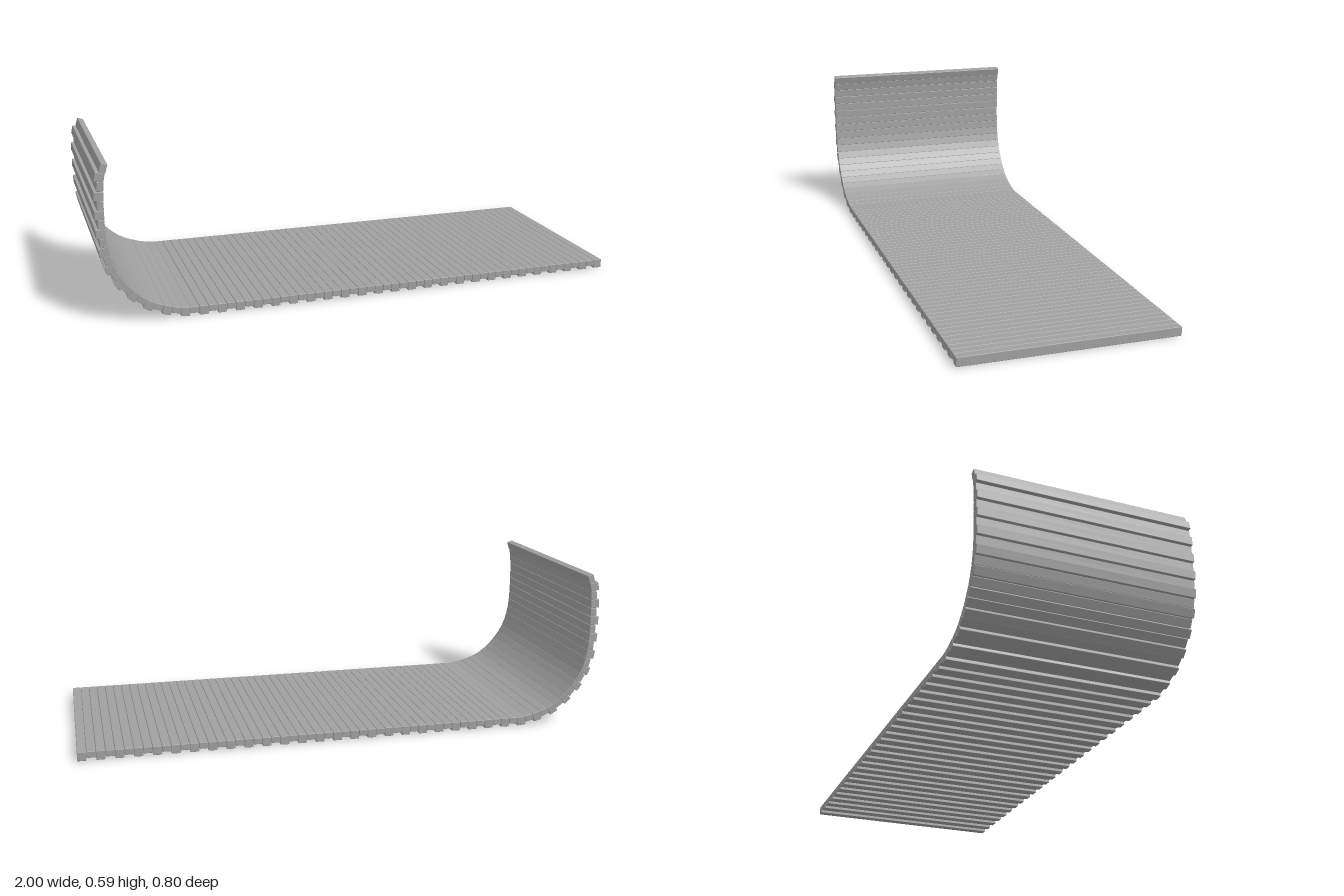
import * as THREE from 'three';
import { RoundedBoxGeometry } from 'three/addons/geometries/RoundedBoxGeometry.js';

const WIDTH = 0.8, LENGTH = 0.0328, THICK = 0.034, THIN = 0.024, COUNT = 72;

export function createModel() {
  const group = new THREE.Group();
  group.name = 'slattedBelt';
  const grey = new THREE.MeshStandardMaterial({ color: 0xa0a0a0 });
  grey.name = 'grey';

  // Path through the slat centres: flat run, upward bend, slight inward curl
  const path = new THREE.CatmullRomCurve3([
    [0.983, 0.02], [0.3, 0.02], [-0.4, 0.02], [-0.62, 0.02],
    [-0.703, 0.0215], [-0.767, 0.036], [-0.83, 0.062], [-0.884, 0.104],
    [-0.927, 0.155], [-0.959, 0.214], [-0.976, 0.278], [-0.982, 0.342],
    [-0.983, 0.41], [-0.982, 0.478], [-0.976, 0.541], [-0.966, 0.574],
  ].map(([x, y]) => new THREE.Vector3(x, y, 0)));
  path.arcLengthDivisions = 2000;

  const thickGeometry = new RoundedBoxGeometry(LENGTH, THICK, WIDTH, 1, 0.002);
  // Thin slats sit flush with the thick ones on the inner side
  const thinGeometry = new RoundedBoxGeometry(LENGTH, THIN, WIDTH, 1, 0.002);
  thinGeometry.translate(0, (THICK - THIN) / 2, 0);

  // Alternating thick and thin slats, turned to follow the path
  for (let i = 0; i < COUNT; i++) {
    const t = i / (COUNT - 1);
    const thick = i % 2 === 0;
    const slat = new THREE.Mesh(thick ? thickGeometry : thinGeometry, grey);
    slat.name = thick ? 'thickSlat' : 'thinSlat';
    slat.position.copy(path.getPointAt(t));
    const tangent = path.getTangentAt(t);
    slat.rotation.z = Math.atan2(-tangent.y, -tangent.x);
    group.add(slat);
  }

  // Rest the lowest slat on the ground and centre the length
  const box = new THREE.Box3().setFromObject(group, true);
  const shift = new THREE.Vector3(-(box.min.x + box.max.x) / 2, -box.min.y, 0);
  group.children.forEach((slat) => slat.position.add(shift));
  return group;
}
